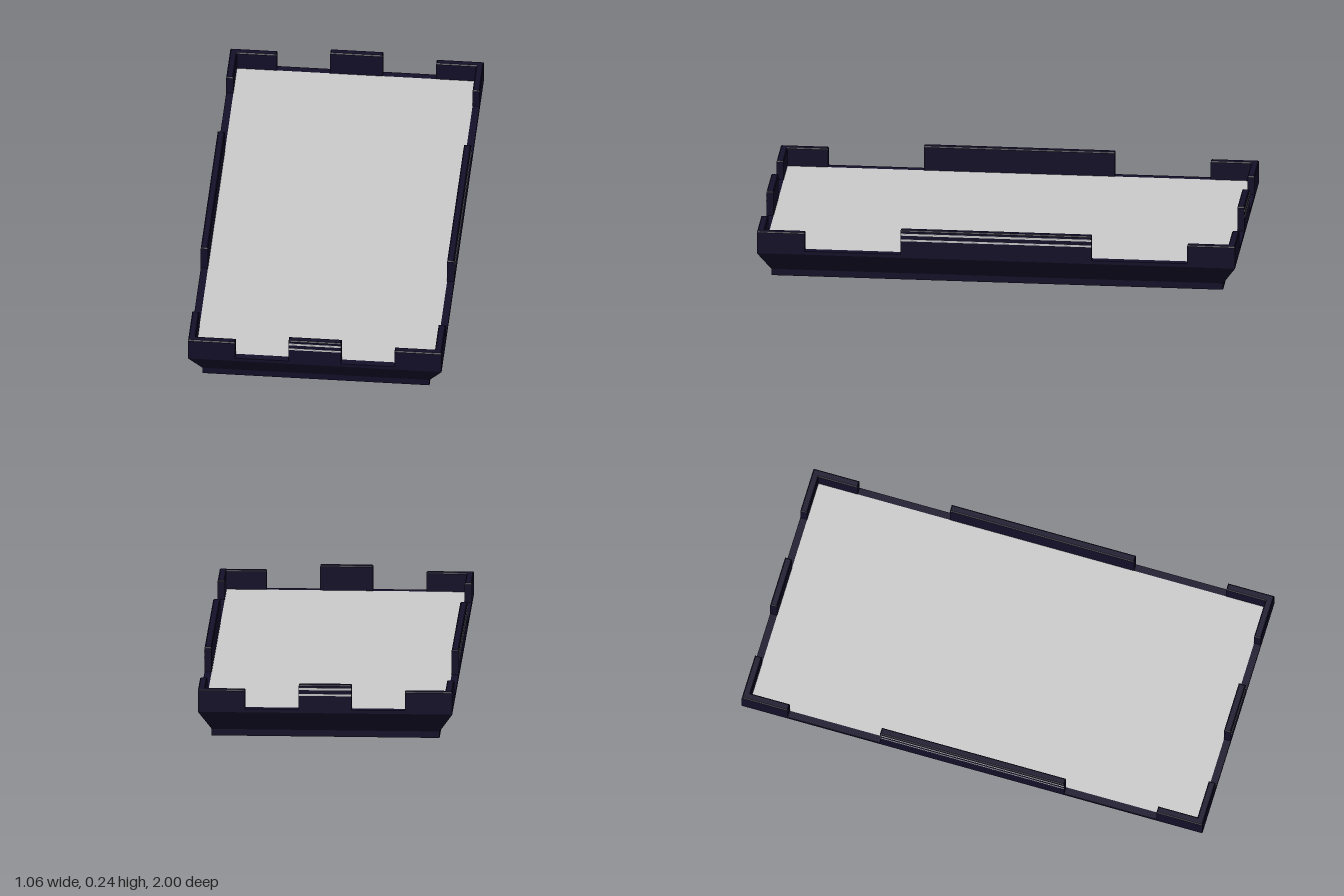
import * as THREE from 'three';

const HX = 0.53, HZ = 1.0, WALL = 0.03, RIM = 0.13;

const dark = new THREE.MeshStandardMaterial({ color: 0x14102a, flatShading: true });
const grey = new THREE.MeshStandardMaterial({ color: 0xcccccc });

function add(group, name, geometry, material) {
  const mesh = new THREE.Mesh(geometry, material);
  mesh.name = name;
  group.add(mesh);
  return mesh;
}

// Flared tray: rectangular loops [halfX, y, halfZ] joined from the floor up to the inner rim
function trayGeometry() {
  const loops = [
    [0, 0, 0], [0.475, 0, 0.945], [0.475, 0.028, 0.945], [HX, 0.115, HZ],
    [HX, RIM, HZ], [HX - WALL, RIM, HZ - WALL], [HX - WALL, 0.1, HZ - WALL],
  ].map(([x, y, z]) => [[x, y, z], [x, y, -z], [-x, y, -z], [-x, y, z]]);
  const pos = [];
  for (let i = 0; i < loops.length - 1; i++) {
    for (let k = 0; k < 4; k++) {
      const n = (k + 1) % 4;
      const a = loops[i][k], b = loops[i][n], c = loops[i + 1][n], d = loops[i + 1][k];
      if (i > 0) pos.push(...a, ...b, ...c);
      pos.push(...a, ...c, ...d);
    }
  }
  const g = new THREE.BufferGeometry();
  g.setAttribute('position', new THREE.Float32BufferAttribute(pos, 3));
  g.computeVertexNormals();
  return g;
}

// Upright wall piece from a plan outline [x, z], with a fine bevel on its top edge
function wallGeometry(outline, top) {
  const bevel = 0.004, bottom = 0.118;
  const shape = new THREE.Shape(outline.map(([x, z]) => new THREE.Vector2(x, -z)));
  const g = new THREE.ExtrudeGeometry(shape, {
    depth: top - bottom - 2 * bevel, bevelEnabled: true,
    bevelThickness: bevel, bevelSize: bevel, bevelOffset: -bevel, bevelSegments: 1,
  });
  g.rotateX(-Math.PI / 2);
  g.translate(0, bottom + bevel, 0);
  return g;
}

// Raised tab with two pale lines on its outer face; the outer face looks along +z
function makeTab(name, halfLength) {
  const tab = new THREE.Group();
  tab.name = name;
  const outline = [[-halfLength, -WALL], [halfLength, -WALL], [halfLength, 0], [-halfLength, 0]];
  add(tab, 'tabWall', wallGeometry(outline, 0.236), dark);
  for (const [y, h] of [[0.218, 0.009], [0.193, 0.008]]) {
    const line = add(tab, 'tabLine', new THREE.BoxGeometry(2 * halfLength, h, 0.003), grey);
    line.position.set(0, y, -0.0005);
  }
  return tab;
}

export function createModel() {
  const model = new THREE.Group();
  model.name = 'tray';

  add(model, 'trayBody', trayGeometry(), dark);

  // Deck panel, flush with the rim
  const deck = add(model, 'deck', new THREE.BoxGeometry(2 * (HX - WALL), 0.03, 2 * (HZ - WALL)), grey);
  deck.position.y = RIM - 0.015;

  // L-shaped corner walls
  for (const sx of [-1, 1]) {
    for (const sz of [-1, 1]) {
      const outline = [
        [HX, HZ], [0.333, HZ], [0.333, HZ - WALL],
        [HX - WALL, HZ - WALL], [HX - WALL, 0.8], [HX, 0.8],
      ].map(([x, z]) => [x * sx, z * sz]);
      add(model, 'cornerWall', wallGeometry(outline, 0.211), dark);
    }
  }

  // Middle tabs on the ends and the long sides
  for (const s of [1, -1]) {
    const end = makeTab(s > 0 ? 'frontTab' : 'backTab', 0.11);
    end.position.z = s * HZ;
    end.rotation.y = s > 0 ? 0 : Math.PI;
    const side = makeTab(s > 0 ? 'leftTab' : 'rightTab', 0.4);
    side.position.x = s * HX;
    side.rotation.y = s * Math.PI / 2;
    model.add(end, side);
  }
  return model;
}
